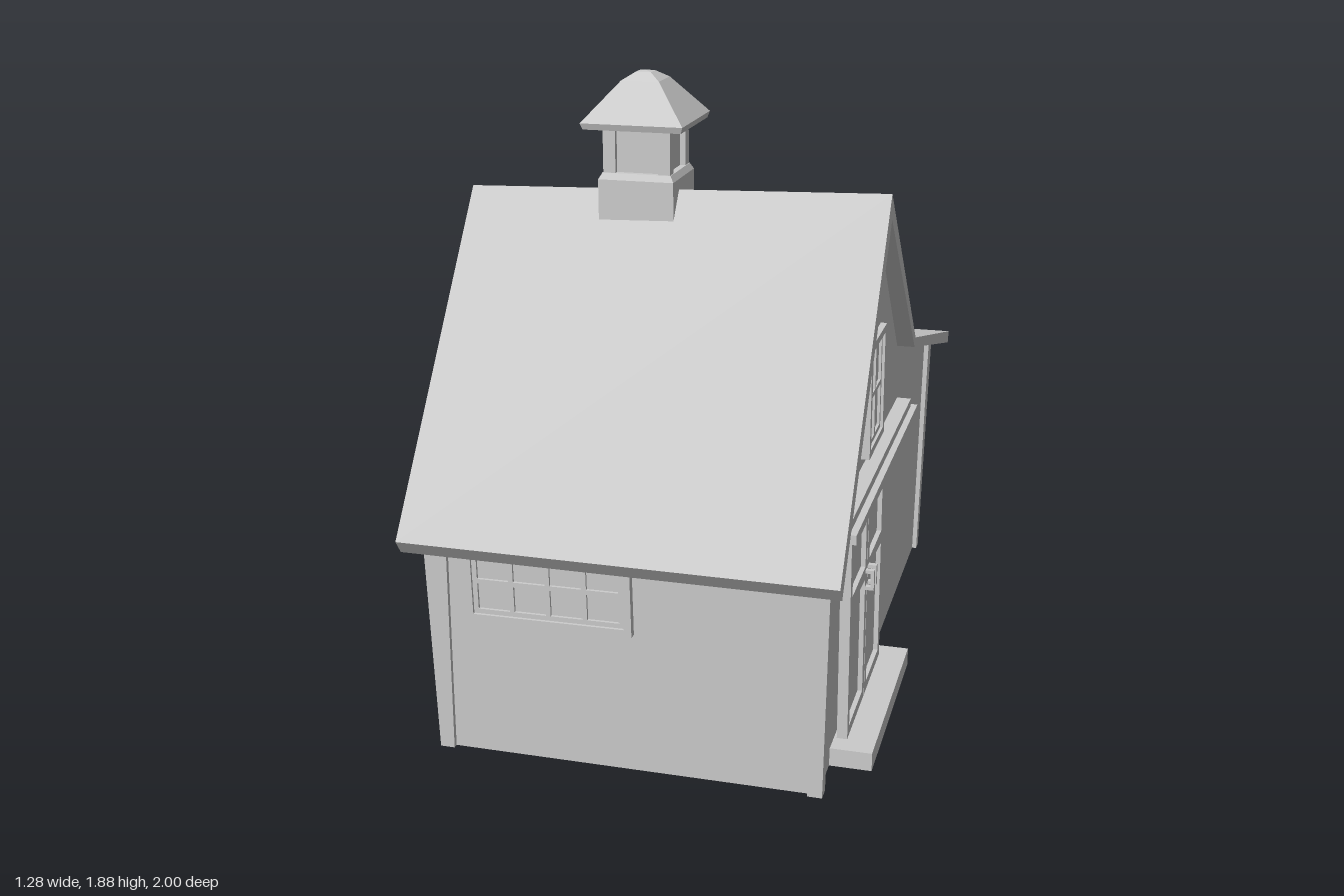
import * as THREE from 'three';

const mat = new THREE.MeshStandardMaterial({ color: 0xcccccc, flatShading: true });
const sheetMat = new THREE.MeshStandardMaterial({ color: 0xcccccc, flatShading: true, side: THREE.DoubleSide });

function add(parent, name, geo, x = 0, y = 0, z = 0, material = mat) {
  const m = new THREE.Mesh(geo, material);
  m.name = name;
  m.position.set(x, y, z);
  parent.add(m);
  return m;
}

// Box given by its minimum and maximum on each axis
function box(parent, name, x0, x1, y0, y1, z0, z1) {
  return add(parent, name, new THREE.BoxGeometry(x1 - x0, y1 - y0, z1 - z0),
    (x0 + x1) / 2, (y0 + y1) / 2, (z0 + z1) / 2);
}

// Move every vertex by a rule
function warp(geo, rule) {
  const p = geo.attributes.position, v = new THREE.Vector3();
  for (let i = 0; i < p.count; i++) {
    rule(v.fromBufferAttribute(p, i));
    p.setXYZ(i, v.x, v.y, v.z);
  }
  geo.computeVertexNormals();
  return geo;
}

// Walls lean outward a little as they rise
function lean(v) {
  v.x = -0.03 + (v.x + 0.03) * (1 + 0.042 * v.y);
  v.z = -0.0125 + (v.z + 0.0125) * (1 + 0.028 * v.y);
}

// Roof profile, [z, y] from front eave to back eave
const TOP = [[1.0, 0.68], [0.35, 1.575], [-0.2, 1.005], [-0.985, 0.8]];
const UNDER = [[0.97, 0.638], [0.34, 1.5], [-0.185, 0.978], [-0.97, 0.763]];

function along(line, z) {
  let i = 0;
  while (i < line.length - 2 && z < line[i + 1][0]) i++;
  const [a, b] = [line[i], line[i + 1]];
  return a[1] + (b[1] - a[1]) * (z - a[0]) / (b[0] - a[0]);
}

// Shape in the side plane (its x is -z)
const sideShape = pts => new THREE.Shape(pts.map(([z, y]) => new THREE.Vector2(-z, y)));

function addRoof(parent) {
  const geo = new THREE.ExtrudeGeometry(sideShape([...TOP, ...[...UNDER].reverse()]),
    { depth: 1, bevelEnabled: false });
  geo.rotateY(Math.PI / 2);
  const leftEdge = [[1, -0.64], [0.35, -0.64], [-0.2, -0.612], [-0.99, -0.63]];
  const rightEdge = [[1, 0.588], [0.35, 0.59], [-0.2, 0.592], [-0.99, 0.602]];
  add(parent, 'roof', warp(geo, v => {
    const atLeft = v.x < 0.5;
    v.x = along(atLeft ? leftEdge : rightEdge, v.z);
    if (atLeft && v.y > 1.4) v.y -= 0.04;
    if (atLeft && v.z < -0.9) v.z += 0.01;
  }));
}

function addWalls(parent) {
  const X0 = -0.575, X1 = 0.515, ZF = 0.87, ZB = -0.895;
  const top = z => along(UNDER, z) + 0.01;
  const gable = [[ZF, 0], [ZF, top(ZF)], [0.34, top(0.34)], [-0.185, top(-0.185)], [ZB, top(ZB)], [ZB, 0]];
  for (const [name, x] of [['rightGableWall', X0], ['leftGableWall', X1]]) {
    const geo = new THREE.ShapeGeometry(sideShape(gable)).rotateY(Math.PI / 2).translate(x, 0, 0);
    add(parent, name, warp(geo, lean), 0, 0, 0, sheetMat);
  }
  for (const [name, z] of [['frontWall', ZF], ['backWall', ZB]]) {
    const h = top(z);
    const geo = new THREE.PlaneGeometry(X1 - X0, h).translate((X0 + X1) / 2, h / 2, z);
    add(parent, name, warp(geo, lean), 0, 0, 0, sheetMat);
  }
  // Corner posts, wider at the top and cut to the roof slope
  for (const [x, sx] of [[-0.59, 1], [0.53, -1]])
    for (const [z, sz] of [[0.885, -1], [-0.91, 1]]) {
      const geo = new THREE.BoxGeometry(1, 1, 1);
      add(parent, 'cornerPost', warp(geo, v => {
        const w = v.y > 0 ? 0.07 : 0.042;
        const isTop = v.y > 0;
        v.x = x + (v.x * sx > 0 ? sx * w : 0);
        v.z = z + (v.z * sz > 0 ? sz * w : 0);
        v.y = isTop ? along(UNDER, v.z) : 0;
        lean(v);
      }));
    }
}

function rect(x0, x1, y0, y1, Type = THREE.Shape) {
  const s = new Type();
  s.moveTo(x0, y0).lineTo(x1, y0).lineTo(x1, y1).lineTo(x0, y1).closePath();
  return s;
}

const slab = (shape, depth) => new THREE.ExtrudeGeometry(shape, { depth, bevelEnabled: false, curveSegments: 8 });

// Window centred on its own origin, facing +z
function makeWindow(name, w, h, cols, rows) {
  const g = new THREE.Group();
  g.name = name;
  const b = 0.022;
  const frame = rect(-w / 2, w / 2, -h / 2, h / 2);
  frame.holes.push(rect(-w / 2 + b, w / 2 - b, -h / 2 + b, h / 2 - b, THREE.Path));
  add(g, 'windowFrame', slab(frame, 0.04), 0, 0, -0.02);
  // Sash with one opening for each pane
  const iw = w - 2 * b, ih = h - 2 * b, bar = 0.014;
  const sash = rect(-iw / 2, iw / 2, -ih / 2, ih / 2);
  const pw = (iw - bar * (cols + 1)) / cols, ph = (ih - bar * (rows + 1)) / rows;
  for (let c = 0; c < cols; c++)
    for (let r = 0; r < rows; r++) {
      const x = -iw / 2 + bar + c * (pw + bar), y = -ih / 2 + bar + r * (ph + bar);
      sash.holes.push(rect(x, x + pw, y, y + ph, THREE.Path));
    }
  add(g, 'sash', slab(sash, 0.024), 0, 0, -0.012);
  add(g, 'glass', new THREE.BoxGeometry(iw, ih, 0.008));
  return g;
}

// Panel opening with a gently arched top
function archedPath(x0, x1, y0, y1, rise) {
  const p = new THREE.Path();
  p.moveTo(x0, y0).lineTo(x1, y0).lineTo(x1, y1 - rise);
  p.quadraticCurveTo((x0 + x1) / 2, y1 + rise, x0, y1 - rise);
  return p.closePath();
}

function addDoors(parent) {
  const doors = new THREE.Group();
  doors.name = 'doubleDoor';
  for (const side of [-1, 1]) {
    const leaf = new THREE.Group();
    leaf.name = 'doorLeaf';
    const x0 = side < 0 ? -0.27 : 0.003, x1 = x0 + 0.267;
    const stile = side < 0 ? [0.028, 0.03] : [0.03, 0.028];
    const a = x0 + stile[0], b = x1 - stile[1];
    const shape = rect(x0, x1, 0.06, 0.735);
    shape.holes.push(archedPath(a, b, 0.09, 0.455, 0.006), archedPath(a, b, 0.49, 0.705, 0.014));
    add(leaf, 'leafFrame', slab(shape, 0.03));
    box(leaf, 'leafPanel', x0 + 0.01, x1 - 0.01, 0.07, 0.725, 0.004, 0.016);
    // Pull handle beside the meeting edge
    const hx = side * 0.02;
    box(leaf, 'handleGrip', hx - 0.008, hx + 0.008, 0.415, 0.477, 0.045, 0.055);
    for (const y of [0.415, 0.467]) box(leaf, 'handleFoot', hx - 0.008, hx + 0.008, y, y + 0.01, 0.028, 0.046);
    doors.add(leaf);
  }
  doors.rotation.y = Math.PI / 2;
  doors.position.set(0.526, 0, 0.387);
  parent.add(doors);
  box(parent, 'doorRail', 0.52, 0.597, 0.735, 0.762, -0.265, 0.83);
  box(parent, 'doorRailTop', 0.52, 0.578, 0.762, 0.787, -0.245, 0.83);
  box(parent, 'doorStep', 0.5, 0.637, 0, 0.055, 0.045, 0.71);
}

function addWindows(parent) {
  const front = makeWindow('frontWindow', 0.482, 0.24, 4, 2);
  front.position.set(-0.245, 0.543, 0.886);
  front.rotation.set(0.025, 0, 0.01);
  const gable = makeWindow('gableWindow', 0.245, 0.335, 2, 2);
  gable.position.set(0.54, 0.99, 0.304);
  gable.rotation.set(0, Math.PI / 2, 0.0);
  const back = makeWindow('backWindow', 0.29, 0.3, 2, 2);
  back.position.set(-0.25, 0.61, -0.913);
  back.rotation.y = Math.PI;
  parent.add(front, gable, back);
  // Flower box, wider at the rim
  const geo = new THREE.BoxGeometry(0.335, 0.07, 0.1);
  add(parent, 'flowerBox', warp(geo, v => {
    if (v.y < 0) { v.x *= 0.95; if (v.z < 0) v.z += 0.012; }
  }), -0.252, 0.465, -0.95);
}

// Square solid lofted through [half width, y] levels
function squareLathe(levels) {
  return new THREE.LatheGeometry(levels.map(([r, y]) => new THREE.Vector2(r * Math.SQRT2, y)), 4)
    .rotateY(Math.PI / 4).toNonIndexed();
}

function addCupola(parent) {
  const g = new THREE.Group();
  g.name = 'cupola';
  g.position.set(-0.127, 0, 0.3);
  box(g, 'cupolaBase', -0.11, 0.11, 1.38, 1.58, -0.11, 0.11);
  add(g, 'cupolaCollar', squareLathe([[0, 1.575], [0.11, 1.575], [0.11, 1.585], [0.1, 1.603], [0, 1.603]]));
  box(g, 'cupolaPanels', -0.082, 0.082, 1.6, 1.74, -0.082, 0.082);
  for (const x of [-1, 1]) for (const z of [-1, 1])
    add(g, 'cupolaPost', new THREE.BoxGeometry(0.036, 0.14, 0.036), x * 0.08, 1.67, z * 0.08);
  add(g, 'cupolaRoof', squareLathe([[0, 1.73], [0.142, 1.73], [0.148, 1.748], [0.055, 1.857], [0.022, 1.878], [0, 1.882]]));
  parent.add(g);
}

export function createModel() {
  const house = new THREE.Group();
  house.name = 'barn';
  addWalls(house);
  addRoof(house);
  addDoors(house);
  addWindows(house);
  addCupola(house);
  return house;
}
